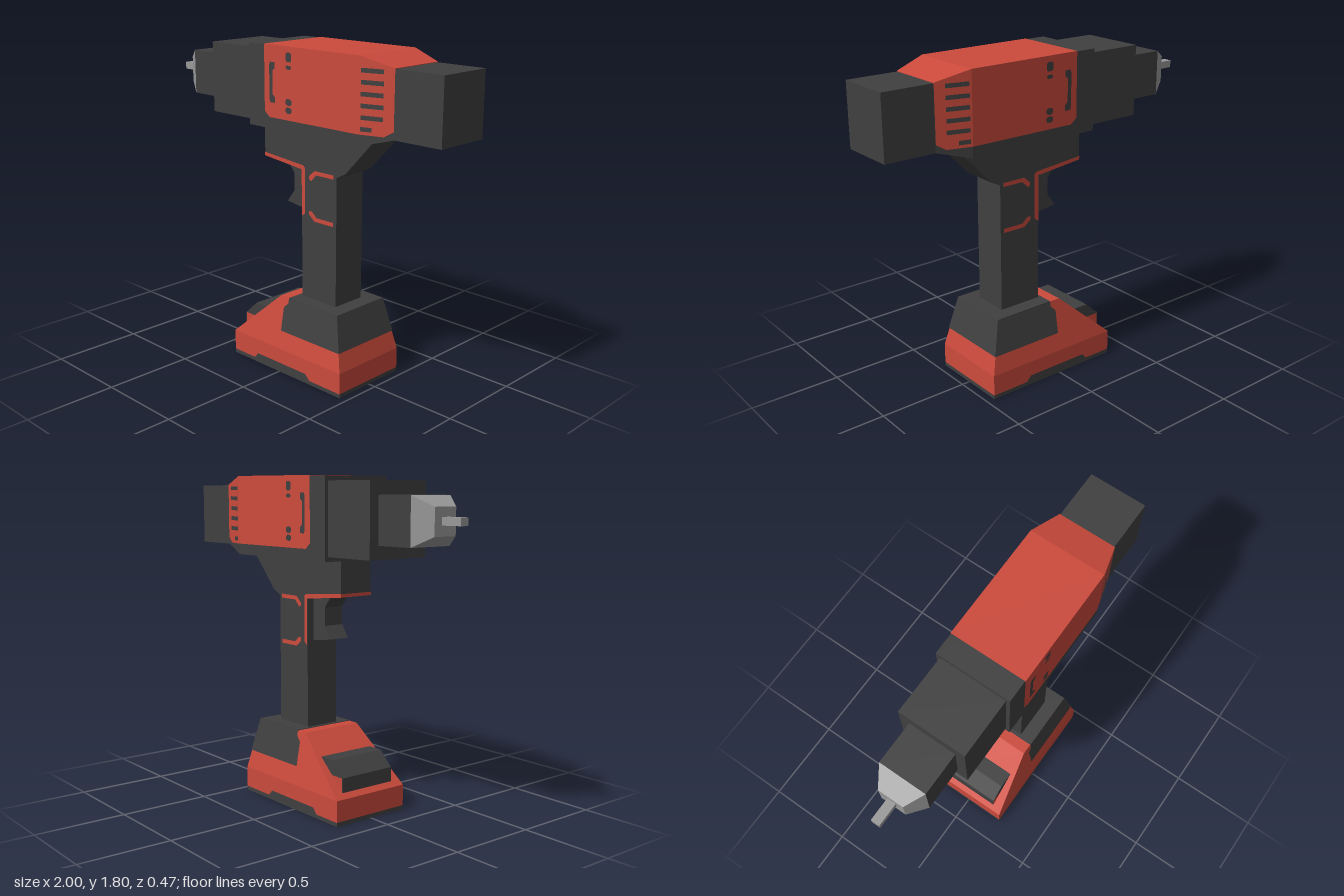
import * as THREE from 'three';

const mat = (name, color) => {
  const m = new THREE.MeshStandardMaterial({ color, flatShading: true });
  m.name = name;
  return m;
};

export function createModel() {
  const red = mat('red shell', 0xcc4a3c);
  const dark = mat('dark rubber', 0x404040);
  const grey = mat('grey steel', 0x999999);
  const model = new THREE.Group();
  model.name = 'cordlessDrill';

  const add = (name, geometry, material, parent = model) => {
    const mesh = new THREE.Mesh(geometry, material);
    mesh.name = name;
    parent.add(mesh);
    return mesh;
  };

  // Closed skin over four-cornered rings, counterclockwise seen from the end
  const loft = (rings) => {
    const index = [], n = rings.length - 1;
    for (let i = 0; i < n; i++) {
      for (let j = 0; j < 4; j++) {
        const a = i * 4 + j, b = i * 4 + (j + 1) % 4;
        index.push(a, b, b + 4, a, b + 4, a + 4);
      }
    }
    const e = n * 4;
    index.push(0, 2, 1, 0, 3, 2, e, e + 1, e + 2, e, e + 2, e + 3);
    const g = new THREE.BufferGeometry();
    g.setAttribute('position', new THREE.Float32BufferAttribute(rings.flat(2), 3));
    g.setIndex(index);
    const flat = g.toNonIndexed();
    flat.computeVertexNormals();
    return flat;
  };
  const ringX = (x, y0, y1, z) => [[x, y0, -z], [x, y1, -z], [x, y1, z], [x, y0, z]];
  const ringY = (y, x0, x1, z) => [[x0, y, -z], [x0, y, z], [x1, y, z], [x1, y, -z]];

  // Side profile extruded evenly about z = 0
  const slab = (pts, halfWidth) => {
    const shape = new THREE.Shape(pts.map(([x, y]) => new THREE.Vector2(x, y)));
    const g = new THREE.ExtrudeGeometry(shape, { depth: halfWidth * 2, bevelEnabled: false });
    return g.translate(0, 0, -halfWidth);
  };

  // Painted panel laid on both sides of the model; depth(x, y) gives the surface
  const paint = (name, pts, depth, material, lift = 0.003) => {
    const group = new THREE.Group();
    group.name = name;
    for (const side of [1, -1]) {
      const shape = new THREE.Shape(pts.map(([x, y]) => new THREE.Vector2(x, y)));
      const g = new THREE.ShapeGeometry(shape);
      const p = g.attributes.position;
      for (let i = 0; i < p.count; i++) p.setZ(i, side * (depth(p.getX(i), p.getY(i)) + lift));
      if (side < 0) g.index.array.reverse();
      g.computeVertexNormals();
      add(name + (side > 0 ? 'Left' : 'Right'), g, material, group);
    }
    model.add(group);
  };
  const rect = (x0, x1, y0, y1) => [[x0, y0], [x1, y0], [x1, y1], [x0, y1]];

  // Motor housing, gearbox, chuck and bit
  add('motorHousing', loft([
    ringX(-0.235, 1.36, 1.795, 0.207), ringX(0.54, 1.36, 1.795, 0.207), ringX(0.72, 1.41, 1.747, 0.157),
  ]), dark);
  add('rearCap', loft([ringX(0.7, 1.41, 1.747, 0.157), ringX(1, 1.41, 1.747, 0.157)]), dark);
  add('gearbox', loft([ringX(-0.555, 1.385, 1.77, 0.185), ringX(-0.235, 1.385, 1.77, 0.185)]), dark);
  add('chuck', loft([ringX(-0.78, 1.455, 1.7, 0.13), ringX(-0.555, 1.455, 1.7, 0.13)]), dark);
  add('chuckNose', loft([ringX(-0.878, 1.508, 1.647, 0.07), ringX(-0.78, 1.455, 1.7, 0.13)]), grey);
  add('bit', loft([ringX(-1, 1.56, 1.6, 0.024), ringX(-0.87, 1.56, 1.6, 0.024)]), grey);

  // Red shell over the top and sides of the housing
  add('topShell', loft([
    ringX(-0.115, 1.792, 1.798, 0.21), ringX(0.54, 1.792, 1.798, 0.21), ringX(0.72, 1.744, 1.75, 0.16),
  ]), red);
  const housing = (x) => 0.207 - 0.05 * Math.max(0, (x - 0.54) / 0.18);
  paint('sideShell', [[-0.115, 1.45], [-0.08, 1.42], [0.54, 1.42], [0.54, 1.798], [-0.115, 1.798]], housing, red);
  paint('sideShellRear', [[0.54, 1.42], [0.67, 1.42], [0.72, 1.45], [0.72, 1.75], [0.54, 1.798]], housing, red);

  // Slots and vents
  paint('sideSlot', [
    [-0.07, 1.5], [-0.035, 1.5], [-0.035, 1.53], [-0.052, 1.545], [-0.052, 1.665],
    [-0.035, 1.68], [-0.035, 1.71], [-0.07, 1.71], [-0.075, 1.69], [-0.075, 1.52],
  ], housing, dark, 0.006);
  [[1.72, 1.768], [1.682, 1.702], [1.498, 1.532], [1.456, 1.488]].forEach(([y0, y1]) =>
    paint('screwSlot', [
      [0.055, y0], [0.077, y0], [0.087, y0 + 0.008], [0.087, y1 - 0.008],
      [0.077, y1], [0.055, y1], [0.045, y1 - 0.008], [0.045, y0 + 0.008],
    ], housing, dark, 0.006));
  for (let i = 0; i < 6; i++) {
    const y = 1.73 - i * 0.0565;
    paint('vent', rect(0.553, i === 5 ? 0.61 : 0.668, y - 0.011, y + 0.011), housing, dark, 0.006);
  }

  // Neck and grip in one profile
  add('grip', slab([
    [-0.235, 1.37], [-0.235, 1.175], [0.05, 1.145], [0.05, 0.42], [0.3, 0.42],
    [0.3, 1.14], [0.36, 1.17], [0.54, 1.36], [0.54, 1.37],
  ], 0.1), dark);
  add('trigger', slab([
    [-0.1, 1.162], [-0.05, 1.1], [-0.05, 1], [-0.1, 0.932], [0.06, 0.91], [0.06, 1.15],
  ], 0.06), dark);

  // Red trim on the neck and grip
  const gripSide = () => 0.1;
  add('neckTrim', slab([[-0.237, 1.172], [0.05, 1.142], [0.05, 1.148], [-0.237, 1.19]], 0.102), red);
  paint('neckStripe', [
    [-0.235, 1.174], [0.05, 1.143], [0.05, 0.885], [0.075, 0.905], [0.075, 1.155], [0.06, 1.166], [-0.235, 1.192],
  ], gripSide, red);
  paint('upperTrim', [
    [0.105, 1.1], [0.118, 1.09], [0.158, 1.128], [0.28, 1.128], [0.28, 1.15], [0.145, 1.15], [0.105, 1.115],
  ], gripSide, red);
  paint('lowerTrim', [
    [0.105, 0.905], [0.145, 0.873], [0.28, 0.873], [0.28, 0.896], [0.16, 0.896], [0.125, 0.925], [0.105, 0.925],
  ], gripSide, red);

  // Battery foot
  add('footSole', loft([ringY(0, -0.365, 0.455, 0.232), ringY(0.022, -0.365, 0.455, 0.232)]), dark);
  add('battery', loft([
    ringY(0.022, -0.365, 0.455, 0.232), ringY(0.138, -0.365, 0.455, 0.232), ringY(0.428, -0.035, 0.385, 0.18),
  ]), red);
  const foot = (x, y) => 0.232 - 0.052 * Math.max(0, (y - 0.138) / 0.29);
  const backX = (y) => 0.455 - 0.07 * (y - 0.138) / 0.29;
  paint('footCollar', [
    [0, 0.24], [backX(0.24), 0.24], [0.385, 0.428], [0.03, 0.428], [0.03, 0.4], [0, 0.372],
  ], foot, dark);
  paint('soleRise', [[-0.2, 0.02], [0.24, 0.02], [0.205, 0.055], [-0.17, 0.055]], foot, dark);
  add('footCollarBack', loft([
    ringY(0.24, backX(0.24) - 0.003, backX(0.24) + 0.003, foot(0, 0.24) + 0.003),
    ringY(0.431, 0.382, 0.388, 0.183),
  ]), dark);
  add('footCollarTop', loft([ringY(0.425, 0.03, 0.386, 0.182), ringY(0.431, 0.03, 0.386, 0.182)]), dark);

  // Battery release latch on the sloping front
  add('latchBase', slab([[-0.333, 0.16], [-0.2, 0.16], [-0.2, 0.24], [-0.333, 0.24]], 0.17), red);
  add('latchCap', slab([[-0.335, 0.24], [-0.1, 0.24], [-0.1, 0.32], [-0.25, 0.32]], 0.17), dark);
  add('latchFront', loft([ringX(-0.337, 0.162, 0.242, 0.17), ringX(-0.332, 0.162, 0.242, 0.17)]), dark);

  return model;
}
